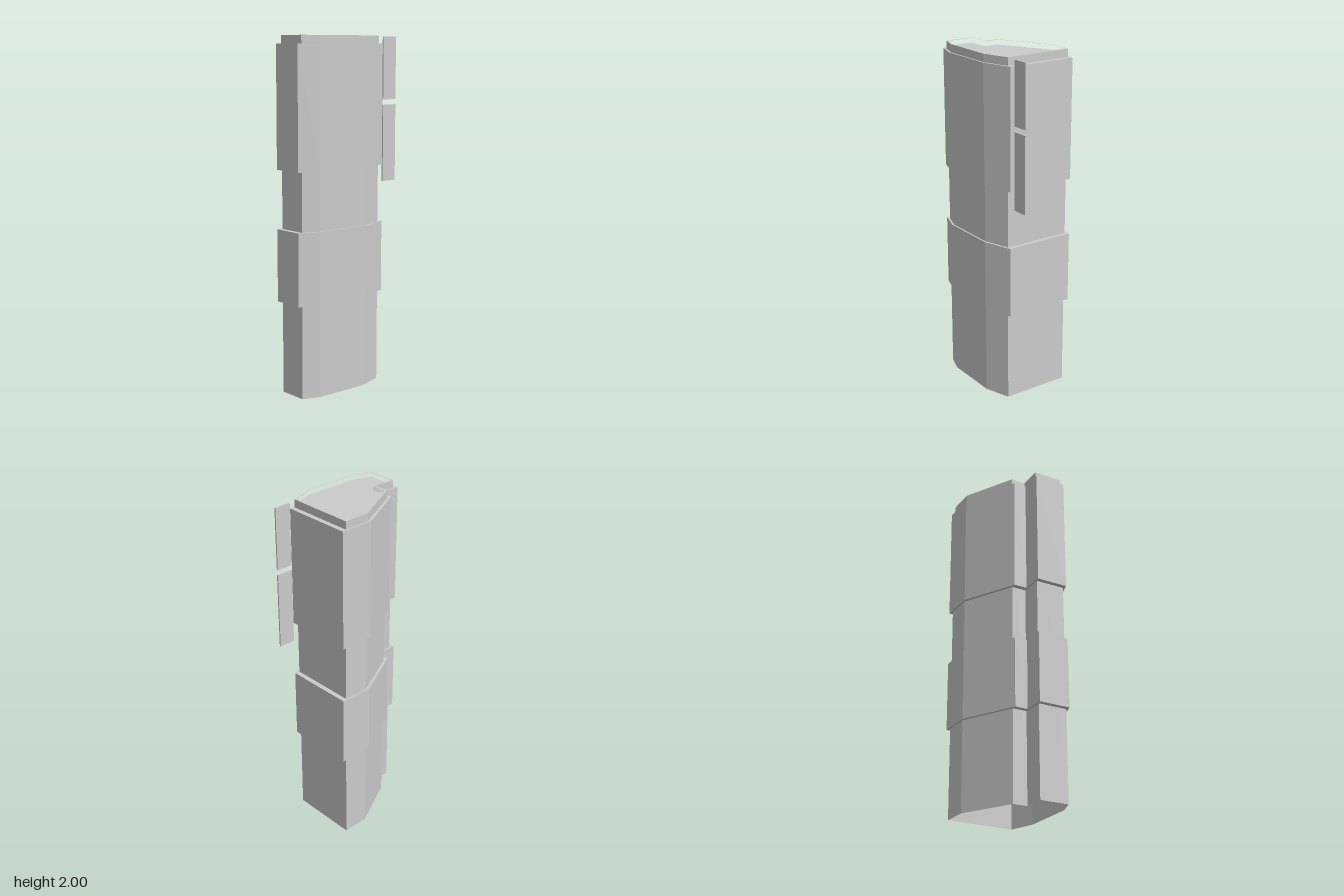
import * as THREE from 'three';

// Plan outlines as [x, z], starting at the rear-right notch
const CORE = [[-0.345, 0.015], [-0.215, 0.015], [-0.215, -0.07], [0.077, -0.225], [0.23, -0.225],
  [0.23, 0.171], [0.08, 0.222], [-0.242, 0.222], [-0.345, 0.187]];
const BAND = [[-0.373, 0.005], [-0.245, 0.005], [-0.245, -0.072], [0.06, -0.234], [0.258, -0.234],
  [0.258, 0.175], [0.09, 0.231], [-0.25, 0.231], [-0.373, 0.19]];
const INNER = [[-0.33, 0.02], [-0.2, 0.02], [-0.2, -0.067], [0.085, -0.22], [0.214, -0.22],
  [0.214, 0.169], [0.072, 0.217], [-0.234, 0.217], [-0.33, 0.183]];
const ROOF_Y = 1.97;

const solid = new THREE.MeshStandardMaterial({ color: 0xcccccc });
const thin = new THREE.MeshStandardMaterial({ color: 0xcccccc, side: THREE.DoubleSide });

const toPoints = (outline) => outline.map(([x, z]) => new THREE.Vector2(x, -z));

// Upright ring between two outlines
function ring(outer, inner, y0, y1) {
  const shape = new THREE.Shape(toPoints(outer));
  shape.holes.push(new THREE.Path(toPoints(inner)));
  return new THREE.ExtrudeGeometry(shape, { depth: y1 - y0, bevelEnabled: false })
    .rotateX(-Math.PI / 2).translate(0, y0, 0);
}

// Open-ended wall following an outline
function wall(outline, y0, y1) {
  const pos = [];
  outline.forEach(([ax, az], i) => {
    const [bx, bz] = outline[(i + 1) % outline.length];
    pos.push(ax, y0, az, ax, y1, az, bx, y1, bz, ax, y0, az, bx, y1, bz, bx, y0, bz);
  });
  const geo = new THREE.BufferGeometry();
  geo.setAttribute('position', new THREE.Float32BufferAttribute(pos, 3));
  geo.computeVertexNormals();
  return geo;
}

export function createModel() {
  const model = new THREE.Group();
  model.name = 'towerBuilding';
  const add = (name, geo, mat = solid) => {
    const mesh = new THREE.Mesh(geo, mat);
    mesh.name = name;
    model.add(mesh);
  };

  // Hollow tower shaft, open at the base
  add('towerWalls', wall(CORE, 0, ROOF_Y), thin);

  // Sunken roof and parapet
  const roof = new THREE.ShapeGeometry(new THREE.Shape(toPoints(CORE)));
  add('roof', roof.rotateX(-Math.PI / 2).translate(0, ROOF_Y, 0), thin);
  add('parapet', ring(CORE, INNER, ROOF_Y, 2));

  // Projecting storeys
  add('lowerBand', ring(BAND, CORE, 0.53, 0.94));
  add('upperBand', ring(BAND, CORE, 1.27, 1.955));

  // Hanging sign panels beside the left wall
  [['lowerSign', 1.17, 1.61], ['upperSign', 1.64, 1.995]].forEach(([name, y0, y1]) => {
    add(name, new THREE.BoxGeometry(0.097, y1 - y0, 0.008).translate(0.3245, (y0 + y1) / 2, 0.159));
  });

  return model;
}
